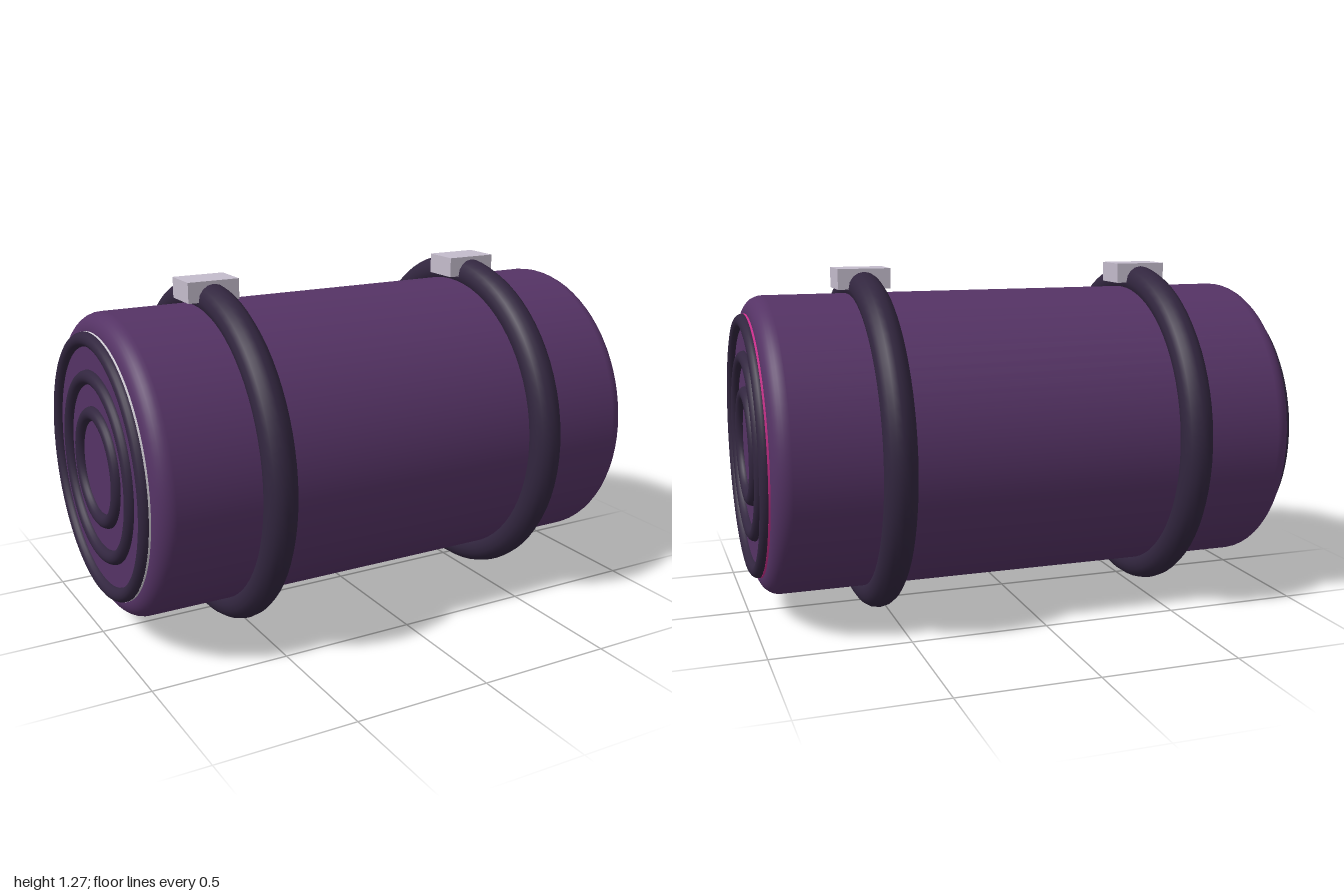
import * as THREE from 'three';

const CY = 0.635; // height of the roll's axis

function material(name, color) {
  const m = new THREE.MeshStandardMaterial({ color });
  m.name = name;
  return m;
}

export function createModel() {
  const fabric = material('purple fabric', 0x553365);
  const cord = material('dark cord', 0x32263f);
  const metal = material('pale buckle', 0xc4bccc);
  const pink = material('pink trim', 0xd0308f);
  const white = material('white trim', 0xd8d4dc);

  const roll = new THREE.Group();
  roll.name = 'bedroll';

  function add(name, geometry, mat, x, y = CY) {
    const mesh = new THREE.Mesh(geometry, mat);
    mesh.name = name;
    mesh.position.set(x, y, 0);
    roll.add(mesh);
    return mesh;
  }

  // Geometry turned so its axis runs along x
  const ring = (r, tube) => new THREE.TorusGeometry(r, tube, 16, 72).rotateY(Math.PI / 2);
  const disc = (r, t) => new THREE.CylinderGeometry(r, r, t, 72).rotateZ(-Math.PI / 2);

  // Rolled body with rounded rims
  const half = 0.967, radius = 0.545, round = 0.065;
  const profile = [new THREE.Vector2(0, -half)];
  for (const end of [-1, 1]) {
    for (let i = 0; i <= 8; i++) {
      const a = (end < 0 ? i - 8 : i) / 8 * Math.PI / 2;
      profile.push(new THREE.Vector2(
        radius - round + round * Math.cos(a),
        end * (half - round) + round * Math.sin(a)));
    }
  }
  profile.push(new THREE.Vector2(0, half));
  add('body', new THREE.LatheGeometry(profile, 72).rotateZ(-Math.PI / 2), fabric, 0);

  for (const side of [-1, 1]) {
    const label = side > 0 ? 'left' : 'right';

    // End: coloured trim edge, fabric face and spiral rings
    add(label + 'EndTrim', disc(0.4815, 0.009), side > 0 ? pink : white, side * 0.9695);
    add(label + 'EndFace', disc(0.477, 0.009), fabric, side * 0.9705);
    for (const r of [0.455, 0.322, 0.193]) {
      add(label + 'EndRing', ring(r, 0.026), cord, side * 0.974);
    }

    // Strap and its buckle
    add(label + 'Strap', ring(0.573, 0.058), cord, side * 0.548);
    add(label + 'Buckle', new THREE.BoxGeometry(0.194, 0.074, 0.14), metal, side * 0.548, 1.236);
  }
  return roll;
}
